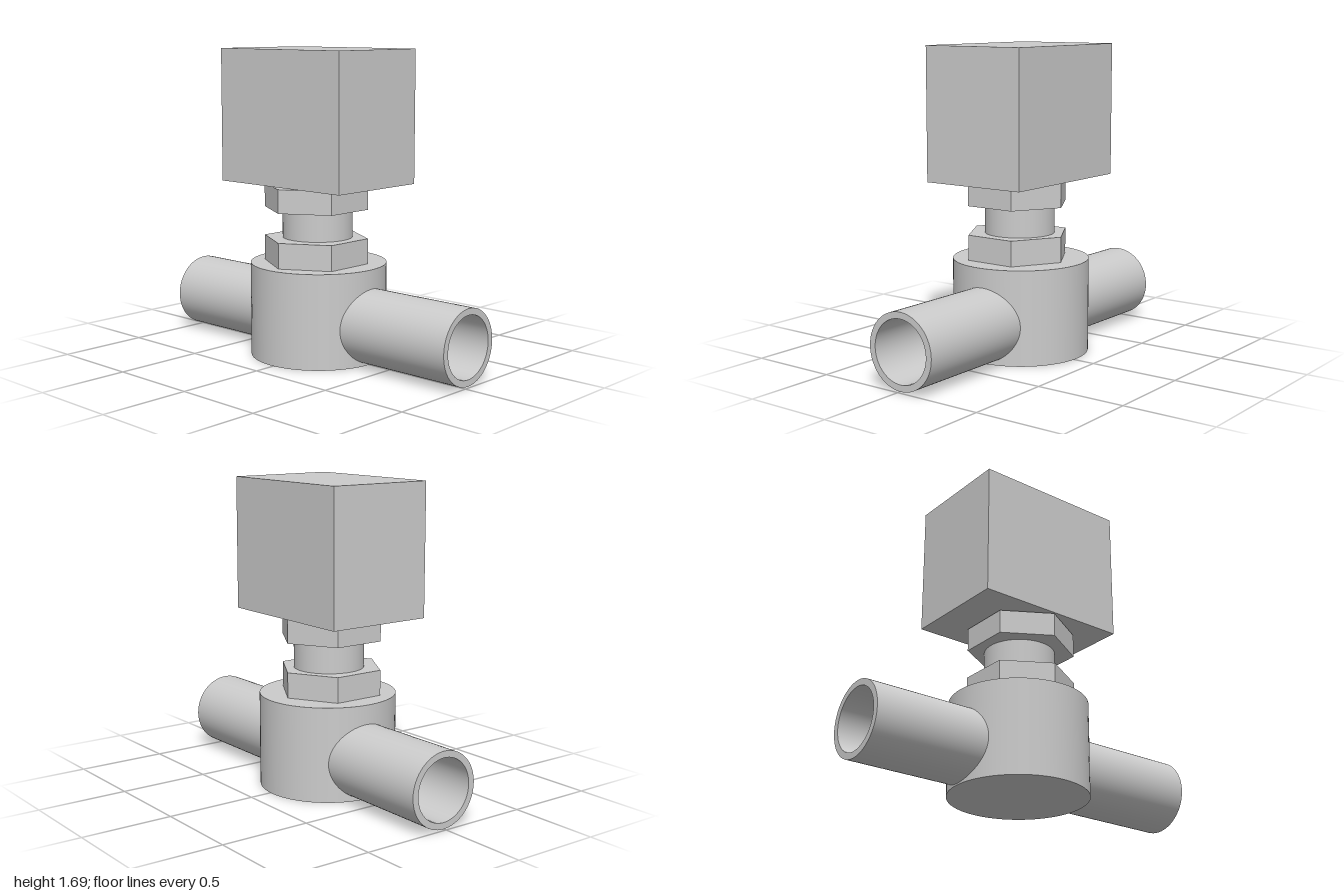
import * as THREE from 'three';
import { toCreasedNormals } from 'three/addons/utils/BufferGeometryUtils.js';

const grey = new THREE.MeshStandardMaterial({ color: 0xcccccc });
const flatGrey = new THREE.MeshStandardMaterial({ color: 0xcccccc, flatShading: true });

export function createModel() {
  const model = new THREE.Group();
  model.name = 'valve';

  const add = (name, geometry, x, y, z, material = grey) => {
    const mesh = new THREE.Mesh(geometry, material);
    mesh.name = name;
    mesh.position.set(x, y, z);
    model.add(mesh);
    return mesh;
  };

  // Upright cylinder or prism between two heights
  const upright = (name, radius, y0, y1, z, sides, material) =>
    add(name, new THREE.CylinderGeometry(radius, radius, y1 - y0, sides), -0.02, (y0 + y1) / 2, z, material);

  upright('valveBody', 0.376, 0, 0.52, 0, 64);
  upright('neck', 0.193, 0.5, 0.965, 0.008, 64);

  // Hexagonal nuts with a corner towards the front
  upright('lowerNut', 0.292, 0.52, 0.66, 0.022, 6, flatGrey);
  upright('upperNut', 0.292, 0.82, 0.95, 0.022, 6, flatGrey);

  // Hollow pipe stubs, starting just inside the body wall
  const pipe = (name, side, start) => {
    const outer = 0.203, inner = 0.168, length = 1 - start;
    const profile = [[outer, 0], [outer, length], [inner, length], [inner, 0], [outer, 0]]
      .map(([r, h]) => new THREE.Vector2(r, h));
    const geometry = toCreasedNormals(new THREE.LatheGeometry(profile, 64), 0.5);
    add(name, geometry, side * start, 0.211, -0.02).rotation.z = -side * Math.PI / 2;
  };
  pipe('leftPipe', 1, 0.28);
  pipe('rightPipe', -1, 0.32);

  // Actuator housing, turned very slightly
  const housing = add('actuatorHousing', new THREE.BoxGeometry(0.871, 0.73, 0.61), -0.027, 1.325, 0.003);
  housing.rotation.y = 0.008;

  return model;
}
